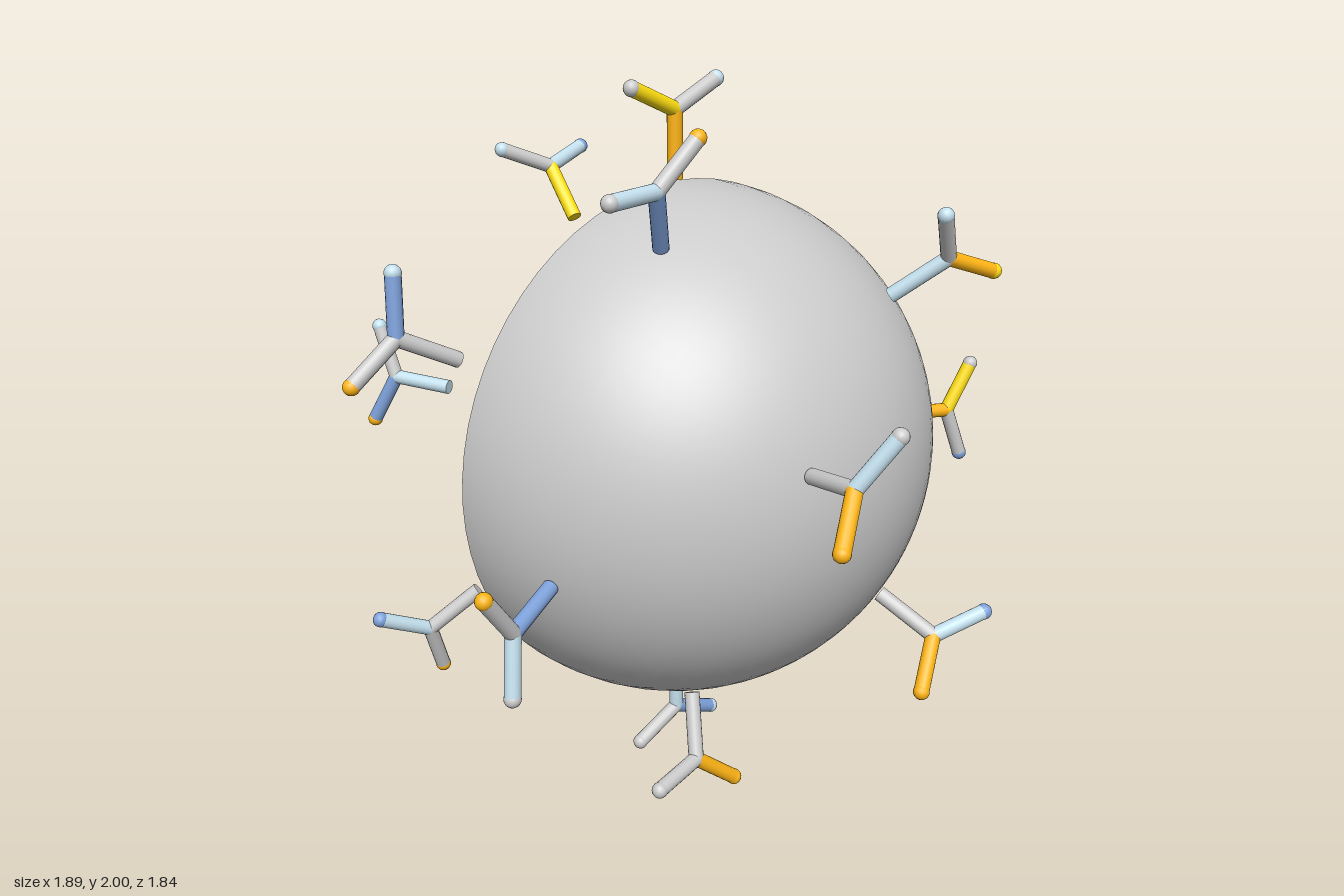
import * as THREE from 'three';

const CENTER = new THREE.Vector3(0, 1, -0.03);
const BODY_R = 0.725;
const COUNT = 16;

const material = (color) => new THREE.MeshStandardMaterial({ color });
const MATS = {
  G: material(0xcccccc), // grey
  O: material(0xffb515), // orange gold
  Y: material(0xffdf10), // yellow
  L: material(0xc4e0ee), // light blue
  B: material(0x7fa3dc), // blue
};

// Colours of each receptor: stem, first arm, second arm, first tip, second tip
const COLORS = [
  'OYGGL', 'BLGGO', 'YGLLB', 'LGOLY', 'GGBOL', 'GLYBO', 'GOLOG', 'LBGOL',
  'OYGGB', 'BLGGO', 'YGLLB', 'GLOBO', 'GGLOB', 'GLYBO', 'GOGOG', 'LBGLG',
];

function add(parent, name, geometry, mat) {
  const mesh = new THREE.Mesh(geometry, mat);
  mesh.name = name;
  parent.add(mesh);
  return mesh;
}

// Round rod between two points
function rod(parent, name, a, b, radius, mat) {
  const dir = b.clone().sub(a);
  const mesh = add(parent, name, new THREE.CylinderGeometry(radius, radius, dir.length(), 16), mat);
  mesh.position.copy(a).add(b).multiplyScalar(0.5);
  mesh.quaternion.setFromUnitVectors(new THREE.Vector3(0, 1, 0), dir.normalize());
}

// Y-shaped receptor standing along +y, arms spread along x
function receptor(codes) {
  const group = new THREE.Group();
  const mats = [...codes].map((c) => MATS[c]);
  const fork = new THREE.Vector3(0, 0.912, 0);
  rod(group, 'stem', new THREE.Vector3(0, 0.73, 0), fork, 0.021, mats[0]);
  add(group, 'fork', new THREE.SphereGeometry(0.021, 16, 10), mats[0]).position.copy(fork);
  [-1, 1].forEach((side, k) => {
    const tip = new THREE.Vector3(side * 0.147, 0.978, 0);
    rod(group, 'arm', fork, tip, 0.021, mats[1 + k]);
    add(group, 'armTip', new THREE.SphereGeometry(0.022, 16, 10), mats[3 + k]).position.copy(tip);
  });
  return group;
}

export function createModel() {
  const model = new THREE.Group();
  model.name = 'cutCellWithReceptors';

  // Half ball bulging towards the front
  const dome = new THREE.SphereGeometry(BODY_R, 64, 24, 0, Math.PI * 2, 0, Math.PI / 2);
  dome.rotateX(Math.PI / 2);
  add(model, 'cellBody', dome, MATS.G).position.copy(CENTER);

  // Flat cut face at the back, with the pale core disc on it
  const cut = add(model, 'cutFace', new THREE.CircleGeometry(BODY_R, 64), MATS.G);
  cut.position.copy(CENTER);
  cut.rotation.y = Math.PI;
  const core = add(model, 'coreDisc', new THREE.CircleGeometry(0.35, 48), MATS.L);
  core.position.copy(CENTER);
  core.position.z -= 0.002;
  core.rotation.y = Math.PI;

  // Receptors spread over the full sphere on a golden-angle spiral
  const golden = Math.PI * (3 - Math.sqrt(5));
  for (let i = 0; i < COUNT; i++) {
    const y = 1 - (2 * i) / (COUNT - 1);
    const r = Math.sqrt(Math.max(0, 1 - y * y));
    const up = new THREE.Vector3(Math.cos(i * golden) * r, y, Math.sin(i * golden) * r);
    const across = new THREE.Vector3(up.y, -up.x, 0).normalize();
    const depth = across.clone().cross(up);
    const part = receptor(COLORS[i]);
    part.name = 'receptor' + (i + 1);
    part.quaternion.setFromRotationMatrix(new THREE.Matrix4().makeBasis(across, up, depth));
    part.position.copy(CENTER);
    model.add(part);
  }
  return model;
}
